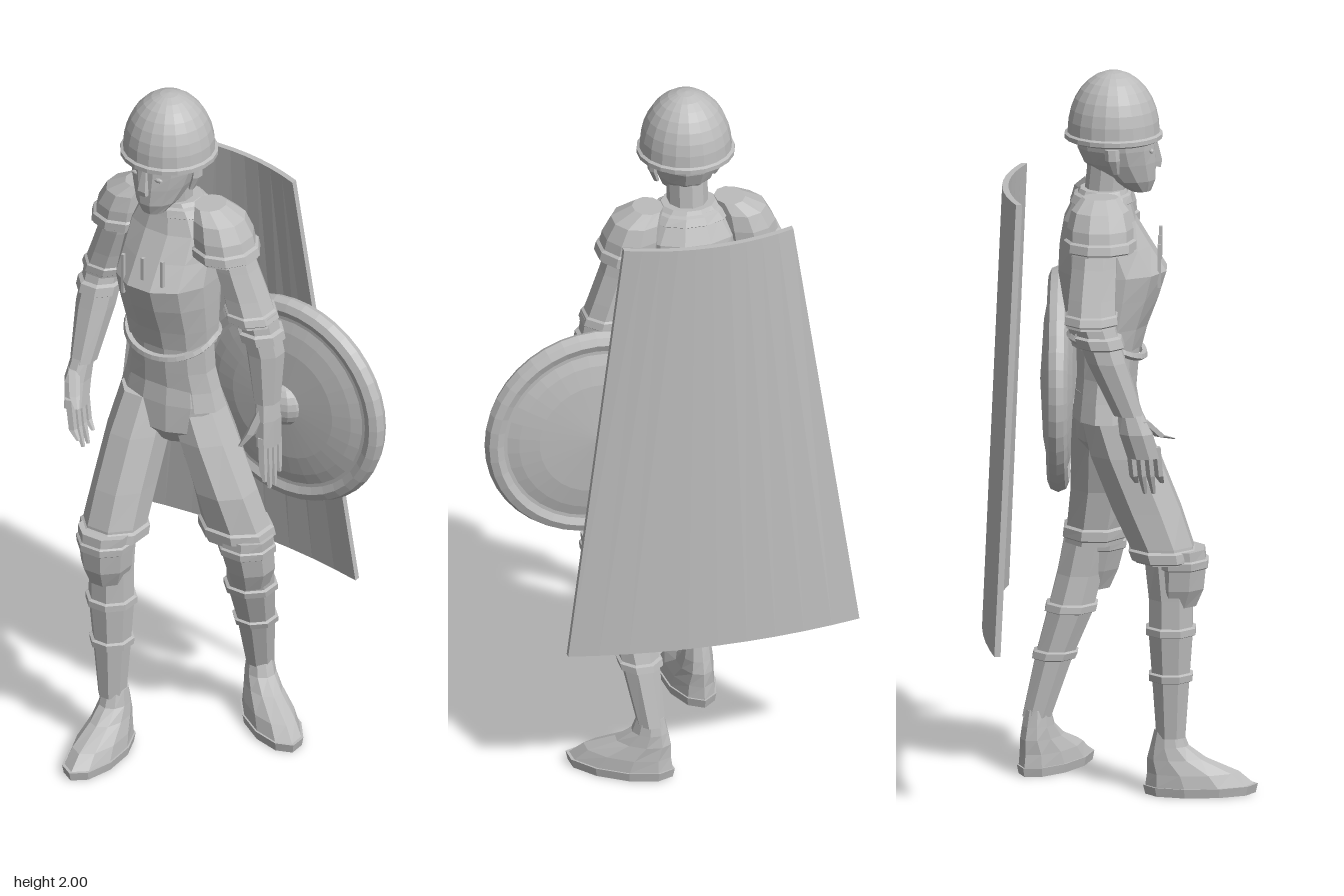
import * as THREE from 'three';

const steel = new THREE.MeshStandardMaterial({ color: 0xbcbcbc, flatShading: true });
steel.name = 'steel grey';

// Closed skin over elliptical rings [y, cx, cz, rx, rz], any vertical order
function loft(rings, n = 8) {
  const s = [...rings].sort((a, b) => a[0] - b[0]);
  const pos = [], idx = [];
  for (const [y, cx, cz, rx, rz] of s) {
    for (let i = 0; i < n; i++) {
      const a = ((i + 0.5) / n) * Math.PI * 2;
      pos.push(cx + rx * Math.cos(a), y, cz + rz * Math.sin(a));
    }
  }
  const m = s.length, last = (m - 1) * n, bottom = m * n, top = bottom + 1;
  pos.push(s[0][1], s[0][0], s[0][2], s[m - 1][1], s[m - 1][0], s[m - 1][2]);
  for (let i = 0; i < n; i++) {
    const k = (i + 1) % n;
    for (let j = 0; j < m - 1; j++) {
      const a = j * n + i, b = j * n + k;
      idx.push(a, a + n, b, b, a + n, b + n);
    }
    idx.push(bottom, i, k, top, last + k, last + i);
  }
  const g = new THREE.BufferGeometry();
  g.setAttribute('position', new THREE.Float32BufferAttribute(pos, 3));
  g.setIndex(idx);
  g.computeVertexNormals();
  return g;
}

// Ring of a loft at height y
function ringAt(rings, y) {
  const s = [...rings].sort((a, b) => a[0] - b[0]);
  let j = 0;
  while (j < s.length - 2 && y > s[j + 1][0]) j++;
  const t = (y - s[j][0]) / (s[j + 1][0] - s[j][0]);
  return s[j].map((v, i) => v + (s[j + 1][i] - v) * t);
}

// Raised strip around a loft
function band(rings, y, h, out, n = 8) {
  const r = (yy, o) => { const q = ringAt(rings, yy); return [yy, q[1], q[2], q[3] + o, q[4] + o]; };
  return loft([r(y - h, 0), r(y - h * 0.7, out), r(y + h * 0.7, out), r(y + h, 0)], n);
}

const mirrorX = rings => rings.map(([y, x, ...rest]) => [y, -0.2 - x, ...rest]);

export function createModel() {
  const model = new THREE.Group();
  const add = (name, geometry, parent = model) => {
    const mesh = new THREE.Mesh(geometry, steel);
    mesh.name = name;
    parent.add(mesh);
    return mesh;
  };

  // Head and helmet
  add('neck', loft([[1.58, -0.1, -0.045, 0.075, 0.07], [1.65, -0.1, -0.04, 0.056, 0.058], [1.75, -0.1, -0.03, 0.056, 0.058]], 10));
  add('head', loft([[1.668, -0.1, 0.055, 0.033, 0.03], [1.7, -0.1, 0.03, 0.058, 0.068], [1.75, -0.1, 0, 0.08, 0.1],
    [1.79, -0.1, -0.01, 0.092, 0.108], [1.85, -0.1, -0.015, 0.1, 0.11]], 12));
  add('nose', loft([[1.735, -0.1, 0.095, 0.018, 0.022], [1.75, -0.1, 0.098, 0.017, 0.022], [1.81, -0.1, 0.092, 0.008, 0.01]], 4));
  for (const s of [-1, 1]) {
    add('ear', loft([[1.73, -0.1 + s * 0.08, -0.01, 0.008, 0.01], [1.77, -0.1 + s * 0.094, -0.018, 0.012, 0.02],
      [1.8, -0.1 + s * 0.094, -0.02, 0.01, 0.02]], 6));
    const eye = add('eye', new THREE.SphereGeometry(0.013, 8, 5));
    eye.scale.set(1.2, 0.5, 0.5);
    eye.position.set(-0.1 + s * 0.037, 1.785, 0.086);
  }
  const dome = [[1.81, -0.1, -0.018, 0.122, 0.122], [1.816, -0.1, -0.018, 0.134, 0.134],
    [1.828, -0.1, -0.018, 0.134, 0.134], [1.832, -0.1, -0.018, 0.126, 0.126]];
  for (let i = 1; i < 8; i++) {
    const a = (i / 8) * Math.PI / 2, r = 0.126 * Math.cos(a);
    dome.push([1.832 + 0.168 * Math.sin(a), -0.1, -0.018, r, r]);
  }
  dome.push([2, -0.1, -0.018, 0.002, 0.002]);
  add('helmet', loft(dome, 20));

  // Torso armour
  const waist = [[1.045, -0.1, -0.04, 0.162, 0.092], [1.1, -0.1, -0.04, 0.146, 0.085], [1.16, -0.1, -0.035, 0.132, 0.085], [1.28, -0.1, -0.03, 0.126, 0.09]];
  const chest = [[1.24, -0.1, -0.035, 0.134, 0.098], [1.3, -0.1, -0.033, 0.139, 0.112], [1.38, -0.1, -0.025, 0.143, 0.135],
    [1.45, -0.1, -0.02, 0.145, 0.152], [1.52, -0.1, -0.04, 0.142, 0.128], [1.59, -0.1, -0.055, 0.14, 0.1], [1.645, -0.1, -0.05, 0.105, 0.078],
    [1.675, -0.1, -0.045, 0.075, 0.065]];
  add('waistSkirt', loft(waist, 12));
  add('breastplate', loft(chest, 12));
  add('collar', band(chest, 1.65, 0.014, 0.008, 12));
  // Rim dipping to a point at the belly
  const rim = [];
  for (let i = 0; i < 24; i++) {
    const a = (i / 24) * Math.PI * 2, front = Math.max(0, Math.sin(a));
    rim.push(new THREE.Vector3(-0.1 + 0.134 * Math.cos(a), 1.265 - 0.055 * front, -0.035 + 0.1 * Math.sin(a)));
  }
  add('breastplateRim', new THREE.TubeGeometry(new THREE.CatmullRomCurve3(rim, true), 32, 0.011, 5, true));
  [[-0.163, 1.47, 0.12], [-0.097, 1.49, 0.1], [-0.033, 1.51, 0.08]].forEach(([x, y, h]) => {
    add('chestPin', new THREE.BoxGeometry(0.009, h, 0.01)).position.set(x, y, 0.108);
  });

  // Trousers
  add('hips', loft([[0.93, -0.08, -0.03, 0.05, 0.05], [0.98, -0.09, -0.03, 0.12, 0.09], [1.06, -0.1, -0.035, 0.148, 0.09],
    [1.12, -0.1, -0.04, 0.135, 0.085]], 12));

  // Legs, the right one stepping forward
  const legs = [
    { side: 'right',
      thigh: [[1.06, -0.168, -0.025, 0.078, 0.085], [0.95, -0.175, 0.015, 0.085, 0.1], [0.8, -0.18, 0.075, 0.086, 0.1],
        [0.7, -0.183, 0.115, 0.088, 0.092], [0.655, -0.183, 0.125, 0.088, 0.085]],
      knee: [[0.69, -0.18, 0.165, 0.08, 0.072], [0.65, -0.18, 0.166, 0.077, 0.076], [0.58, -0.18, 0.163, 0.07, 0.072], [0.53, -0.18, 0.155, 0.05, 0.058]],
      shin: [[0.68, -0.18, 0.13, 0.062, 0.068], [0.55, -0.18, 0.14, 0.062, 0.064], [0.45, -0.18, 0.14, 0.063, 0.064],
        [0.32, -0.178, 0.14, 0.052, 0.054], [0.16, -0.177, 0.14, 0.038, 0.042]],
      ankle: [-0.172, 0.13], yaw: 0.08 },
    { side: 'left',
      thigh: [[1.06, -0.04, -0.05, 0.08, 0.085], [0.95, 0.005, -0.05, 0.082, 0.092], [0.8, 0.06, -0.055, 0.09, 0.09],
        [0.69, 0.085, -0.07, 0.1, 0.085], [0.645, 0.088, -0.075, 0.105, 0.085]],
      knee: [[0.67, 0.125, -0.06, 0.08, 0.07], [0.63, 0.125, -0.062, 0.077, 0.075], [0.56, 0.128, -0.075, 0.07, 0.07], [0.505, 0.125, -0.085, 0.05, 0.055]],
      shin: [[0.67, 0.105, -0.09, 0.066, 0.068], [0.55, 0.1, -0.115, 0.066, 0.066], [0.45, 0.085, -0.14, 0.067, 0.066],
        [0.32, 0.07, -0.185, 0.053, 0.054], [0.16, 0.052, -0.23, 0.039, 0.042]],
      ankle: [0.05, -0.23], yaw: 1.0 },
  ];
  for (const { side, thigh, knee, shin, ankle, yaw } of legs) {
    const leg = new THREE.Group();
    leg.name = side + 'Leg';
    model.add(leg);
    add('trouserLeg', loft(thigh), leg);
    add('trouserCuff', band(thigh, 0.675, 0.018, 0.009), leg);
    add('kneePad', loft(knee), leg);
    add('kneePadRim', band(knee, knee[1][0], 0.014, 0.006), leg);
    add('greave', loft(shin), leg);
    for (const y of [0.46, 0.33]) add('greaveBand', band(shin, y, 0.013, 0.009), leg);
    const foot = new THREE.Group();
    foot.name = 'boot';
    foot.position.set(ankle[0], 0, ankle[1]);
    foot.rotation.y = yaw;
    leg.add(foot);
    add('sole', loft([[0, 0, 0.09, 0.066, 0.15], [0.025, 0, 0.09, 0.07, 0.156]], 10), foot);
    add('bootUpper', loft([[0.025, 0, 0.088, 0.065, 0.148], [0.06, 0, 0.07, 0.06, 0.125], [0.1, 0, 0.025, 0.048, 0.08],
      [0.135, 0, 0.006, 0.042, 0.052], [0.18, 0, 0.003, 0.036, 0.038]], 10), foot);
  }

  // Arms share the upper part; forearms and hands are posed
  const upper = [[1.61, -0.26, -0.06, 0.055, 0.06], [1.5, -0.29, -0.065, 0.062, 0.065], [1.42, -0.318, -0.07, 0.064, 0.068], [1.345, -0.342, -0.072, 0.068, 0.072]];
  const pad = [[1.535, -0.27, -0.05, 0.086, 0.092], [1.6, -0.258, -0.05, 0.082, 0.09], [1.645, -0.245, -0.05, 0.07, 0.078], [1.675, -0.215, -0.05, 0.042, 0.05]];
  const arms = [
    { side: 'right', flip: r => r,
      fore: [[1.37, -0.345, -0.07, 0.056, 0.06], [1.25, -0.352, -0.03, 0.055, 0.056], [1.1, -0.35, 0.03, 0.036, 0.042]],
      palm: [[1.12, -0.35, 0.03, 0.03, 0.034], [1.05, -0.355, 0.05, 0.034, 0.048], [0.98, -0.345, 0.07, 0.03, 0.046]],
      tip: [-0.305, 0.87, 0.085], thumb: [-0.288, 1.02, 0.15] },
    { side: 'left', flip: mirrorX,
      fore: [[1.37, 0.15, -0.075, 0.056, 0.06], [1.25, 0.173, -0.085, 0.053, 0.055], [1.1, 0.182, -0.08, 0.036, 0.042]],
      palm: [[1.12, 0.182, -0.08, 0.03, 0.034], [1.05, 0.186, -0.08, 0.034, 0.046], [0.97, 0.19, -0.078, 0.03, 0.046]],
      tip: [0.205, 0.84, -0.07], thumb: [0.14, 0.97, -0.015] },
  ];
  for (const { side, flip, fore, palm, tip, thumb } of arms) {
    const arm = new THREE.Group();
    arm.name = side + 'Arm';
    model.add(arm);
    add('shoulderPad', loft(flip(pad), 10), arm);
    add('shoulderPadRim', band(flip(pad), 1.555, 0.016, 0.008, 10), arm);
    add('upperArm', loft(flip(upper)), arm);
    add('sleeveCuff', band(flip(upper), 1.365, 0.014, 0.006), arm);
    add('forearm', loft(fore), arm);
    add('bracerBand', band(fore, 1.305, 0.018, 0.01), arm);
    add('palm', loft(palm), arm);
    const [py, px, pz] = palm[2];
    for (let i = 0; i < 4; i++) {
      const d = (i - 1.5) * 0.023, drop = i === 0 || i === 3 ? 0.03 : 0;
      add('finger', loft([[py + 0.03, px, pz + d, 0.014, 0.013], [(py + tip[1]) / 2, (px * 0.6 + tip[0] * 0.4), (pz + tip[2]) / 2 + d, 0.013, 0.012],
        [tip[1] + drop, tip[0], tip[2] + d, 0.006, 0.006]], 5), arm);
    }
    const [qy, qx, qz] = palm[1];
    add('thumb', loft([[qy + 0.035, qx, qz + 0.02, 0.017, 0.017], [(qy + thumb[1]) / 2, (qx + thumb[0]) / 2, (qz + thumb[2]) / 2 + 0.015, 0.016, 0.016],
      [thumb[1], thumb[0], thumb[2], 0.007, 0.007]], 5), arm);
  }

  // Round shield behind the left hand
  const shield = new THREE.Group();
  shield.name = 'shield';
  shield.position.set(0.195, 1.066, -0.174);
  model.add(shield);
  const lens = [];
  for (let i = -5; i <= 5; i++) {
    const t = i / 5, r = Math.max(0.003, 0.275 * Math.sqrt(1 - t * t));
    lens.push([t * 0.051, 0, 0, r, r]);
  }
  add('shieldFace', loft(lens, 32), shield).rotation.x = Math.PI / 2;
  add('shieldRim', new THREE.TorusGeometry(0.28, 0.029, 8, 40), shield);
  add('shieldInnerRim', new THREE.TorusGeometry(0.254, 0.024, 6, 40), shield);
  const boss = add('shieldBoss', new THREE.SphereGeometry(0.064, 14, 10), shield);
  boss.position.set(0, 0, 0.035);
  boss.scale.z = 0.75;

  // Cape: a flared slab bowed towards the back
  const cape = new THREE.BoxGeometry(1, 1, 1, 10, 1, 1);
  const p = cape.attributes.position;
  for (let i = 0; i < p.count; i++) {
    const u = p.getX(i) * 2, t = 0.5 - p.getY(i), back = 0.5 - p.getZ(i);
    const half = 0.237 + 0.171 * t;
    p.setXYZ(i, -0.098 + half * u, 1.68 - 1.22 * t, -0.259 - 0.054 * t - 0.044 * (1 - u * u) - 0.017 * back);
  }
  cape.computeVertexNormals();
  add('cape', cape);

  return model;
}
